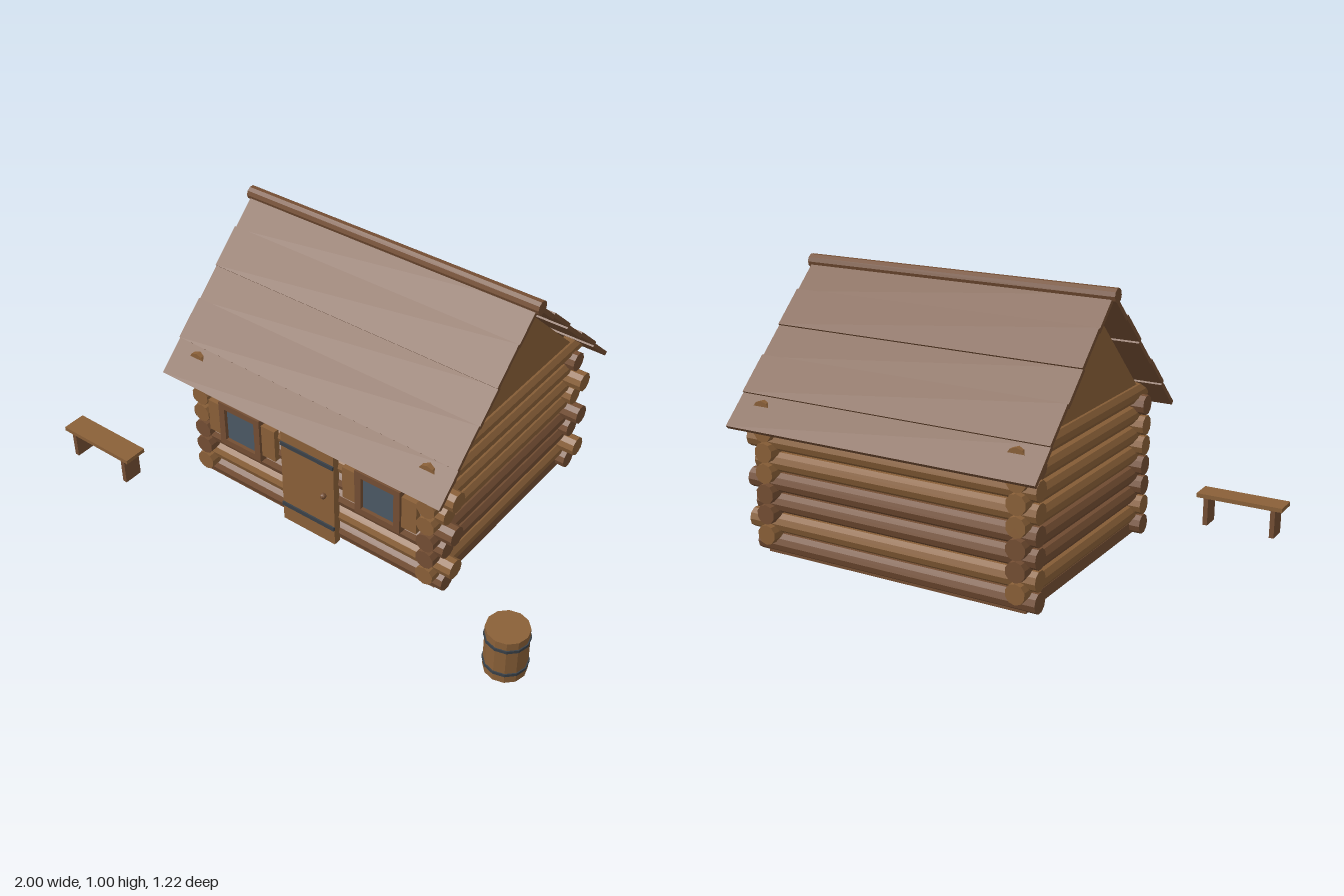
import * as THREE from 'three';

const mat = (name, color) => {
  const m = new THREE.MeshStandardMaterial({ color, flatShading: true });
  m.name = name;
  return m;
};

export function createModel() {
  const wood = mat('wood', 0x8a6038);
  const darkWood = mat('darkWood', 0x744e33);
  const iron = mat('iron', 0x3a4148);
  const glass = mat('glass', 0x4b5864);
  const model = new THREE.Group();
  model.name = 'logCabin';

  const add = (parent, name, geo, material, x, y, z) => {
    const mesh = new THREE.Mesh(geo, material);
    mesh.name = name;
    mesh.position.set(x, y, z);
    parent.add(mesh);
    return mesh;
  };
  // Box given by its limits on each axis
  const box = (parent, name, material, x0, x1, y0, y1, z0, z1) =>
    add(parent, name, new THREE.BoxGeometry(x1 - x0, y1 - y0, z1 - z0), material,
      (x0 + x1) / 2, (y0 + y1) / 2, (z0 + z1) / 2);
  const group = (name) => {
    const g = new THREE.Group();
    g.name = name;
    model.add(g);
    return g;
  };

  const left = -0.48, right = 0.52, front = 0.33, back = -0.48;
  const ridgeZ = -0.075, logR = 0.037, step = 0.076;

  // Log walls: the two directions interlock half a log apart
  const walls = group('walls');
  const darkX = [0, 2, 3, 6], darkZ = [1, 2];
  for (let i = 0; i < 7; i++) {
    const x0 = -0.54, x1 = i % 2 ? 0.61 : 0.577;
    for (const z of [front, back]) {
      const geo = new THREE.CylinderGeometry(logR, logR, x1 - x0, 10).rotateZ(Math.PI / 2);
      add(walls, 'longLog', geo, darkX.includes(i) ? darkWood : wood, (x0 + x1) / 2, 0.039 + i * step, z);
    }
    for (const x of [left, right]) {
      const geo = new THREE.CylinderGeometry(logR, logR, 0.93, 10).rotateX(Math.PI / 2);
      add(walls, 'sideLog', geo, darkZ.includes(i) ? darkWood : wood, x, 0.078 + i * step, ridgeZ);
    }
  }
  box(walls, 'floor', darkWood, left - 0.02, right + 0.02, 0, 0.045, back - 0.02, front + 0.02);

  // Gable triangles
  const tri = new THREE.Shape();
  tri.moveTo(-0.415, 0.555);
  tri.lineTo(0.415, 0.555);
  tri.lineTo(0, 0.952);
  tri.closePath();
  for (const x of [left, right]) {
    const geo = new THREE.ExtrudeGeometry(tri, { depth: 0.03, bevelEnabled: false });
    geo.translate(0, 0, -0.015).rotateY(-Math.PI / 2);
    add(walls, 'gable', geo, wood, x, 0, ridgeZ);
  }

  // Roof: five boards a side, every second one raised
  const roof = group('roof');
  const pitch = 0.751, boards = 5, boardLen = 0.725 / boards;
  for (const s of [1, -1]) {
    for (let i = 0; i < boards; i++) {
      const along = (i + 0.5) * boardLen, lift = i % 2 ? 0.007 : 0;
      const geo = new THREE.BoxGeometry(1.205, 0.016, boardLen + (i % 2 ? 0.012 : 0));
      const board = add(roof, 'roofBoard', geo, darkWood, 0.0175,
        0.974 - along * Math.sin(pitch) + lift * Math.cos(pitch),
        ridgeZ + s * (along * Math.cos(pitch) + lift * Math.sin(pitch)));
      board.rotation.x = s * pitch;
    }
  }
  add(roof, 'ridgeLog', new THREE.CylinderGeometry(0.026, 0.026, 1.23, 10).rotateZ(Math.PI / 2),
    darkWood, 0.0175, 0.975, ridgeZ);

  // Door with iron straps and a knob
  const door = group('door');
  box(door, 'doorPanel', wood, -0.1, 0.135, 0, 0.425, 0.36, 0.39);
  for (const y of [0.075, 0.358]) box(door, 'doorStrap', iron, -0.1, 0.135, y - 0.008, y + 0.008, 0.388, 0.396);
  add(door, 'doorKnob', new THREE.SphereGeometry(0.012, 10, 6), darkWood, 0.095, 0.218, 0.4);

  // Windows: pane, four frame bars and a pair of shutters
  for (const x of [-0.29, 0.325]) {
    const win = group('window');
    box(win, 'windowPane', glass, x - 0.07, x + 0.07, 0.235, 0.385, 0.376, 0.382);
    for (const s of [-1, 1]) {
      const y = 0.312 + s * 0.081;
      box(win, 'frameRail', darkWood, x - 0.095, x + 0.095, y - 0.012, y + 0.012, 0.36, 0.396);
      const fx = x + s * 0.082;
      box(win, 'framePost', darkWood, fx - 0.013, fx + 0.013, 0.24, 0.384, 0.36, 0.396);
      const sx = x + s * 0.125;
      box(win, 'shutter', wood, sx - 0.031, sx + 0.031, 0.245, 0.38, 0.36, 0.385);
    }
  }

  // Bench
  const bench = group('bench');
  box(bench, 'benchSeat', wood, -1, -0.67, 0.108, 0.124, 0.52, 0.61);
  for (const x of [-0.963, -0.705]) box(bench, 'benchLeg', darkWood, x - 0.009, x + 0.009, 0, 0.109, 0.528, 0.602);

  // Barrel with two hoops
  const barrel = group('barrel');
  add(barrel, 'barrelBody', new THREE.CylinderGeometry(0.074, 0.074, 0.18, 12), wood, 0.922, 0.09, 0.495);
  for (const y of [0.037, 0.145]) {
    add(barrel, 'barrelHoop', new THREE.CylinderGeometry(0.078, 0.078, 0.011, 12), iron, 0.922, y, 0.495);
  }
  return model;
}
